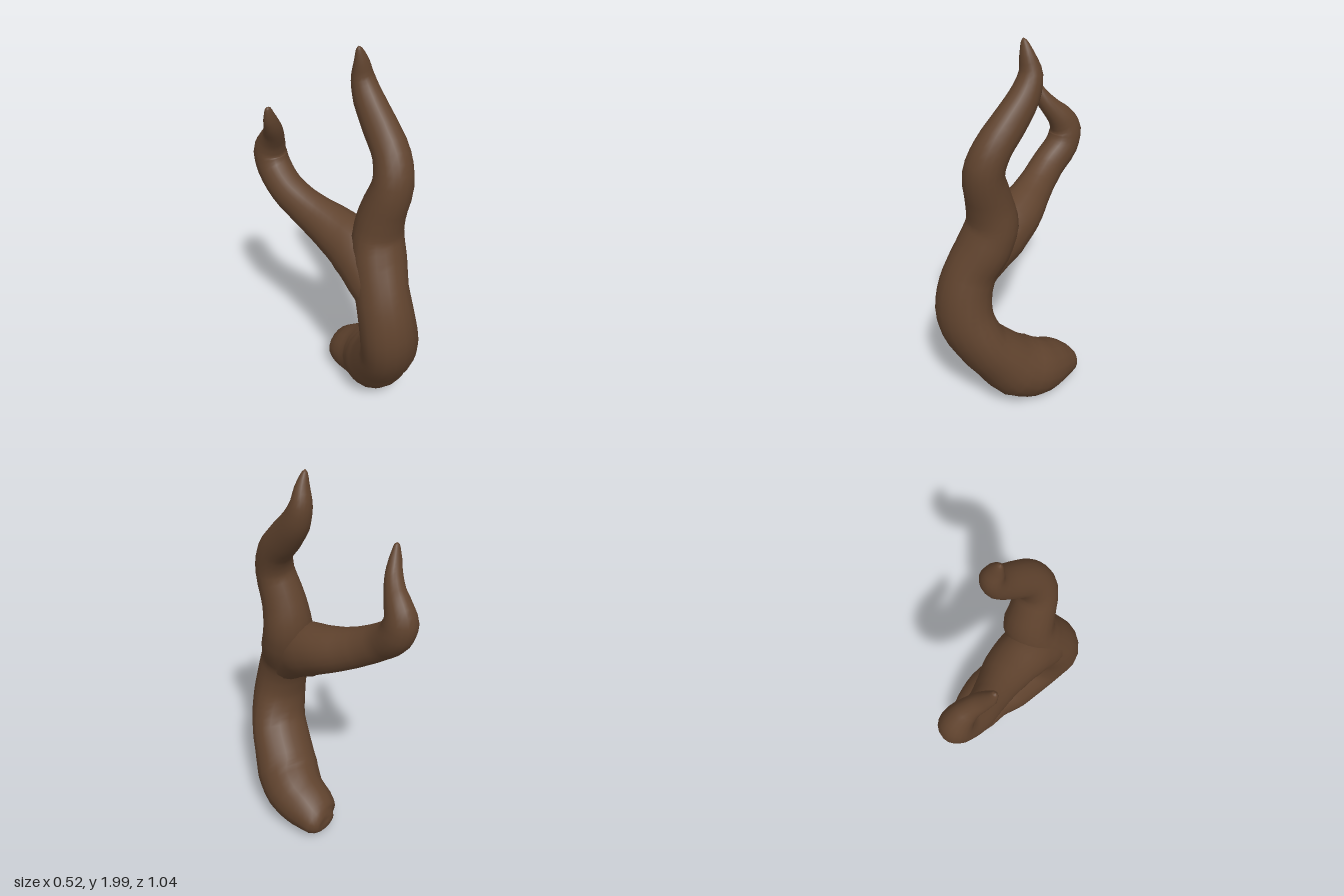
import * as THREE from 'three';

const bark = new THREE.MeshStandardMaterial({ color: 0x60432e });
bark.name = 'brown bark';

// Stations: [x, y, z, radius across x, radius in the bending plane], swept from base to tip
const trunkStations = [
  [0.12, 0.105, -0.185, 0, 0],
  [0.12, 0.105, -0.177, 0.06, 0.045],
  [0.125, 0.111, -0.14, 0.115, 0.09],
  [0.115, 0.134, -0.05, 0.143, 0.134],
  [0.098, 0.173, 0.08, 0.163, 0.163],
  [0.05, 0.23, 0.18, 0.175, 0.17],
  [0.0, 0.335, 0.265, 0.172, 0.147],
  [-0.055, 0.46, 0.35, 0.167, 0.13],
  [-0.105, 0.61, 0.385, 0.157, 0.135],
  [-0.115, 0.75, 0.367, 0.142, 0.137],
  [-0.1, 0.87, 0.325, 0.132, 0.135],
  [-0.058, 1.0, 0.27, 0.142, 0.13],
  [-0.033, 1.12, 0.238, 0.135, 0.122],
  [-0.03, 1.25, 0.258, 0.117, 0.112],
  [-0.017, 1.42, 0.305, 0.1, 0.097],
  [0.01, 1.54, 0.27, 0.09, 0.09],
  [0.035, 1.645, 0.178, 0.08, 0.088],
  [0.053, 1.75, 0.09, 0.07, 0.075],
  [0.055, 1.84, 0.052, 0.058, 0.054],
  [0.04, 1.92, 0.056, 0.04, 0.034],
  [0.022, 1.985, 0.057, 0.015, 0.013],
  [0.018, 2.0, 0.058, 0, 0],
];

// Starts inside the trunk and peels away from its back, so the fork flows together
const branchStations = [
  [-0.11, 0.72, 0.37, 0, 0],
  [-0.108, 0.79, 0.345, 0.115, 0.105],
  [-0.095, 0.9, 0.265, 0.132, 0.135],
  [-0.07, 0.995, 0.14, 0.14, 0.15],
  [-0.068, 1.05, 0.0, 0.125, 0.126],
  [-0.085, 1.097, -0.12, 0.1, 0.11],
  [-0.1, 1.14, -0.21, 0.088, 0.1],
  [-0.11, 1.2, -0.31, 0.085, 0.093],
  [-0.097, 1.28, -0.405, 0.086, 0.09],
  [-0.095, 1.36, -0.432, 0.081, 0.088],
  [-0.105, 1.43, -0.405, 0.067, 0.07],
  [-0.13, 1.49, -0.362, 0.052, 0.053],
  [-0.165, 1.55, -0.327, 0.045, 0.04],
  [-0.195, 1.61, -0.309, 0.035, 0.028],
  [-0.212, 1.67, -0.3, 0.015, 0.012],
  [-0.214, 1.68, -0.299, 0, 0],
];

// Sweeps an elliptical cross-section along a smooth path through the stations
function limb(name, stations, sides = 18, steps = 3) {
  const path = new THREE.CatmullRomCurve3(stations.map(([x, y, z]) => new THREE.Vector3(x, y, z)));
  const spans = stations.length - 1;
  const rings = spans * steps;
  const positions = [];
  const index = [];
  for (let i = 0; i <= rings; i++) {
    const t = i / rings;
    const k = Math.min(Math.floor(i / steps), spans - 1);
    const f = i / steps - k;
    const rx = THREE.MathUtils.lerp(stations[k][3], stations[k + 1][3], f);
    const rn = THREE.MathUtils.lerp(stations[k][4], stations[k + 1][4], f);
    const centre = path.getPoint(t);
    const tangent = path.getTangent(t);
    const side = new THREE.Vector3(1, 0, 0).addScaledVector(tangent, -tangent.x).normalize();
    const normal = new THREE.Vector3().crossVectors(tangent, side);
    for (let j = 0; j < sides; j++) {
      const a = (j / sides) * Math.PI * 2;
      const p = centre.clone()
        .addScaledVector(side, rx * Math.cos(a))
        .addScaledVector(normal, rn * Math.sin(a));
      positions.push(p.x, p.y, p.z);
      if (i < rings) {
        const a0 = i * sides + j;
        const a1 = i * sides + ((j + 1) % sides);
        index.push(a0, a1, a1 + sides, a0, a1 + sides, a0 + sides);
      }
    }
  }
  const geometry = new THREE.BufferGeometry();
  geometry.setAttribute('position', new THREE.Float32BufferAttribute(positions, 3));
  geometry.setIndex(index);
  geometry.computeVertexNormals();
  const mesh = new THREE.Mesh(geometry, bark);
  mesh.name = name;
  return mesh;
}

export function createModel() {
  const group = new THREE.Group();
  group.name = 'forkedBranch';
  group.add(limb('trunk', trunkStations), limb('sideBranch', branchStations));
  return group;
}
